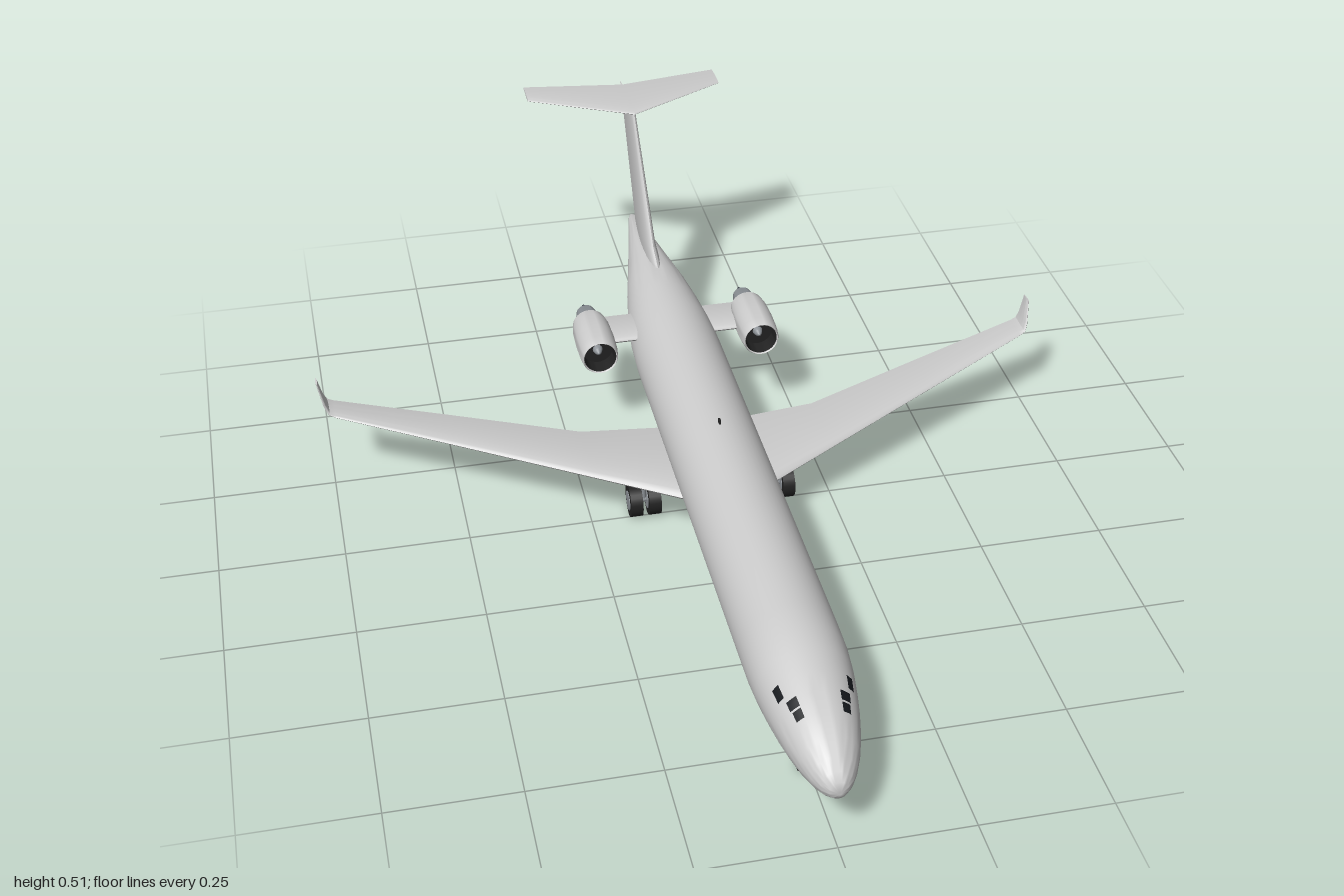
import * as THREE from 'three';
import { toCreasedNormals } from 'three/addons/utils/BufferGeometryUtils.js';

const mat = (name, color, side = THREE.FrontSide) => {
  const m = new THREE.MeshStandardMaterial({ color, side });
  m.name = name;
  return m;
};

// Skin a list of equal-length rings of [x, y, z], capped at both ends, facing outward
function loft(rings, crease = 0.7) {
  const n = rings[0].length, pos = rings.flat(), idx = [];
  for (let i = 0; i < rings.length - 1; i++) {
    for (let j = 0; j < n; j++) {
      const a = i * n + j, b = i * n + (j + 1) % n;
      idx.push([a, b, a + n], [b, b + n, a + n]);
    }
  }
  const last = (rings.length - 1) * n;
  for (let j = 1; j < n - 1; j++) idx.push([0, j + 1, j], [last, last + j, last + j + 1]);
  const v = pos.map((p) => new THREE.Vector3(...p));
  const c = v.reduce((s, p) => s.add(p), new THREE.Vector3()).divideScalar(v.length);
  v.forEach((p) => p.sub(c));
  let volume = 0;
  for (const [a, b, d] of idx) volume += v[a].dot(v[b].clone().cross(v[d]));
  if (volume < 0) idx.forEach((t) => t.reverse());
  const g = new THREE.BufferGeometry();
  g.setAttribute('position', new THREE.Float32BufferAttribute(pos.flat(), 3));
  g.setIndex(idx.flat());
  return toCreasedNormals(g, crease);
}

// Airfoil ring: leading and trailing z, half thickness t, tilted by angle a about z
function airfoil(x, y, lead, trail, t, a = 0) {
  const ring = [];
  for (let k = 0; k < 24; k++) {
    const th = (k / 24) * Math.PI * 2, f = (1 - Math.cos(th)) / 2;
    const h = t * 1.3 * Math.sin(th) * Math.sqrt(1 - f);
    ring.push([x - h * Math.sin(a), y + h * Math.cos(a), lead + (trail - lead) * f]);
  }
  return ring;
}
const mirror = (ring, s) => ring.map(([x, y, z]) => [x * s, y, z]);

// Fuselage stations: z, bottom y, top y, half width
const stations = [
  [1, 0.122, 0.128, 0.003], [0.993, 0.108, 0.144, 0.017], [0.98, 0.099, 0.157, 0.029],
  [0.96, 0.091, 0.172, 0.041], [0.93, 0.084, 0.191, 0.054], [0.89, 0.079, 0.209, 0.066],
  [0.85, 0.076, 0.222, 0.075], [0.81, 0.074, 0.233, 0.082], [0.76, 0.072, 0.245, 0.089],
  [0.71, 0.07, 0.253, 0.0925], [0.65, 0.07, 0.256, 0.093], [-0.32, 0.07, 0.256, 0.093],
  [-0.4, 0.075, 0.256, 0.09], [-0.48, 0.088, 0.255, 0.081], [-0.56, 0.109, 0.253, 0.068],
  [-0.64, 0.133, 0.248, 0.051], [-0.72, 0.159, 0.241, 0.035], [-0.8, 0.186, 0.232, 0.019],
  [-0.845, 0.202, 0.225, 0.011], [-0.862, 0.209, 0.219, 0.005],
];
function skin(z, ang, out = 0) {
  let i = 0;
  while (i < stations.length - 2 && stations[i + 1][0] > z) i++;
  const p = stations[i], q = stations[i + 1], t = (z - p[0]) / (q[0] - p[0]);
  const [lo, hi, w] = [1, 2, 3].map((k) => p[k] + (q[k] - p[k]) * t);
  return [(w + out) * Math.cos(ang), (lo + hi) / 2 + ((hi - lo) / 2 + out) * Math.sin(ang), z];
}

export function createModel() {
  const body = mat('light grey paint', 0xcccccc);
  const dark = mat('black rubber and fan', 0x222222);
  const metal = mat('grey metal', 0x8c9196);
  const cone = mat('dark exhaust metal', 0x3a3f48);
  const glass = mat('dark glass', 0x15181c, THREE.DoubleSide);

  const root = new THREE.Group();
  root.name = 'airliner';
  const add = (name, geo, m, x = 0, y = 0, z = 0, parent = root) => {
    const mesh = new THREE.Mesh(geo, m);
    mesh.name = name;
    mesh.position.set(x, y, z);
    parent.add(mesh);
    return mesh;
  };
  const lathe = (pts) => toCreasedNormals(new THREE.LatheGeometry(
    pts.map(([r, z]) => new THREE.Vector2(r, z)), 32).rotateX(Math.PI / 2), 0.6);

  // Fuselage, belly fairing and antenna
  add('fuselage', loft(stations.map(([z]) =>
    Array.from({ length: 48 }, (_, k) => skin(z, (k / 48) * Math.PI * 2))), 1), body);
  add('bellyFairing', new THREE.SphereGeometry(1, 32, 20).scale(0.088, 0.042, 0.2), body, 0, 0.105, 0);
  add('antenna', new THREE.BoxGeometry(0.004, 0.012, 0.01), dark, 0, 0.259, 0.073);

  // Tail fin and T-shaped tailplane
  const q = Math.PI / 2;
  add('tailFin', loft([
    airfoil(0, 0.215, -0.52, -0.81, 0.013, q), airfoil(0, 0.256, -0.55, -0.832, 0.013, q),
    airfoil(0, 0.275, -0.598, -0.843, 0.012, q), airfoil(0, 0.505, -0.8, -0.975, 0.007, q),
  ]), body);
  add('tailplane', loft([
    airfoil(-0.22, 0.499, -0.927, -1, 0.003), airfoil(0, 0.508, -0.793, -0.948, 0.006),
    airfoil(0.22, 0.499, -0.927, -1, 0.003),
  ]), body);

  // Cockpit window panes: front z, rear z, lower and upper angle in degrees
  const panes = [[0.887, 0.868, 46, 60], [0.864, 0.845, 44, 60], [0.834, 0.806, 33, 44]];

  for (const s of [1, -1]) {
    const side = s > 0 ? 'left' : 'right';

    // Wing with upturned tip
    add(side + 'Wing', loft([
      airfoil(0, 0.108, 0.16, -0.14, 0.018), airfoil(0.09, 0.115, 0.11, -0.14, 0.015),
      airfoil(0.245, 0.128, 0.026, -0.14, 0.01), airfoil(0.49, 0.149, -0.106, -0.222, 0.007),
      airfoil(0.735, 0.17, -0.237, -0.303, 0.004), airfoil(0.748, 0.175, -0.242, -0.305, 0.003, 0.7),
      airfoil(0.755, 0.188, -0.252, -0.307, 0.003, 1.25), airfoil(0.766, 0.226, -0.282, -0.312, 0.002, 1.35),
    ].map((r) => mirror(r, s))), body);

    // Cockpit windows laid on the skin
    panes.forEach(([z0, z1, a0, a1], i) => {
      const g = new THREE.PlaneGeometry(1, 1, 5, 4), p = g.attributes.position;
      for (let k = 0; k < p.count; k++) {
        const z = z0 + (z1 - z0) * (p.getX(k) + 0.5);
        const a = THREE.MathUtils.degToRad(a0 + (a1 - a0) * (p.getY(k) + 0.5));
        const [x, y, zz] = skin(z, a, 0.002);
        p.setXYZ(k, x * s, y, zz);
      }
      g.computeVertexNormals();
      add(side + 'CockpitWindow' + (i + 1), g, glass);
    });

    // Rear engine on its pylon
    const engine = new THREE.Group();
    engine.name = side + 'Engine';
    engine.position.set(s * 0.174, 0.2, -0.365);
    root.add(engine);
    const part = (name, pts, m) => add(name, lathe(pts), m, 0, 0, 0, engine);
    part('nacelle', [[0.028, -0.07], [0.036, -0.07], [0.04, -0.045], [0.0415, 0], [0.0405, 0.045],
      [0.038, 0.066], [0.036, 0.07], [0.034, 0.067]], body);
    part('intakeFan', [[0.034, 0.067], [0.032, 0.05], [0.032, 0.032], [0.01, 0.032]], dark);
    part('spinner', [[0.011, 0.03], [0.008, 0.042], [0.004, 0.049], [0, 0.052]], metal);
    part('exhaustDuct', [[0, -0.118], [0.02, -0.118], [0.025, -0.095], [0.03, -0.069]], metal);
    part('exhaustCone', [[0, -0.15], [0.003, -0.148], [0.012, -0.118]], cone);
    add(side + 'Pylon', loft([0.06, 0.15].map((x) =>
      mirror(airfoil(x, 0.198, -0.355, -0.462, 0.01), s))), body);

    // Landing gear wheels and main strut
    const wheel = (name, r, w, x, z) => {
      add(name + 'Tyre', new THREE.CylinderGeometry(r, r, w, 28).rotateZ(q), dark, s * x, r, z);
      add(name + 'Hub', new THREE.CylinderGeometry(r * 0.6, r * 0.6, w + 0.003, 20).rotateZ(q), metal, s * x, r, z);
    };
    wheel(side + 'MainOuter', 0.034, 0.025, 0.159, -0.01);
    wheel(side + 'MainInner', 0.034, 0.025, 0.121, -0.01);
    wheel(side + 'Nose', 0.021, 0.016, 0.013, 0.795);
    add(side + 'MainStrut', new THREE.CylinderGeometry(0.005, 0.005, 0.09, 12), metal, s * 0.14, 0.076, -0.01);
    add(side + 'MainAxle', new THREE.CylinderGeometry(0.006, 0.006, 0.04, 12).rotateZ(q), metal, s * 0.14, 0.034, -0.01);
  }
  add('noseStrut', new THREE.CylinderGeometry(0.004, 0.004, 0.065, 12), metal, 0, 0.051, 0.795);
  add('noseAxle', new THREE.CylinderGeometry(0.004, 0.004, 0.024, 12).rotateZ(q), metal, 0, 0.021, 0.795);

  return root;
}
